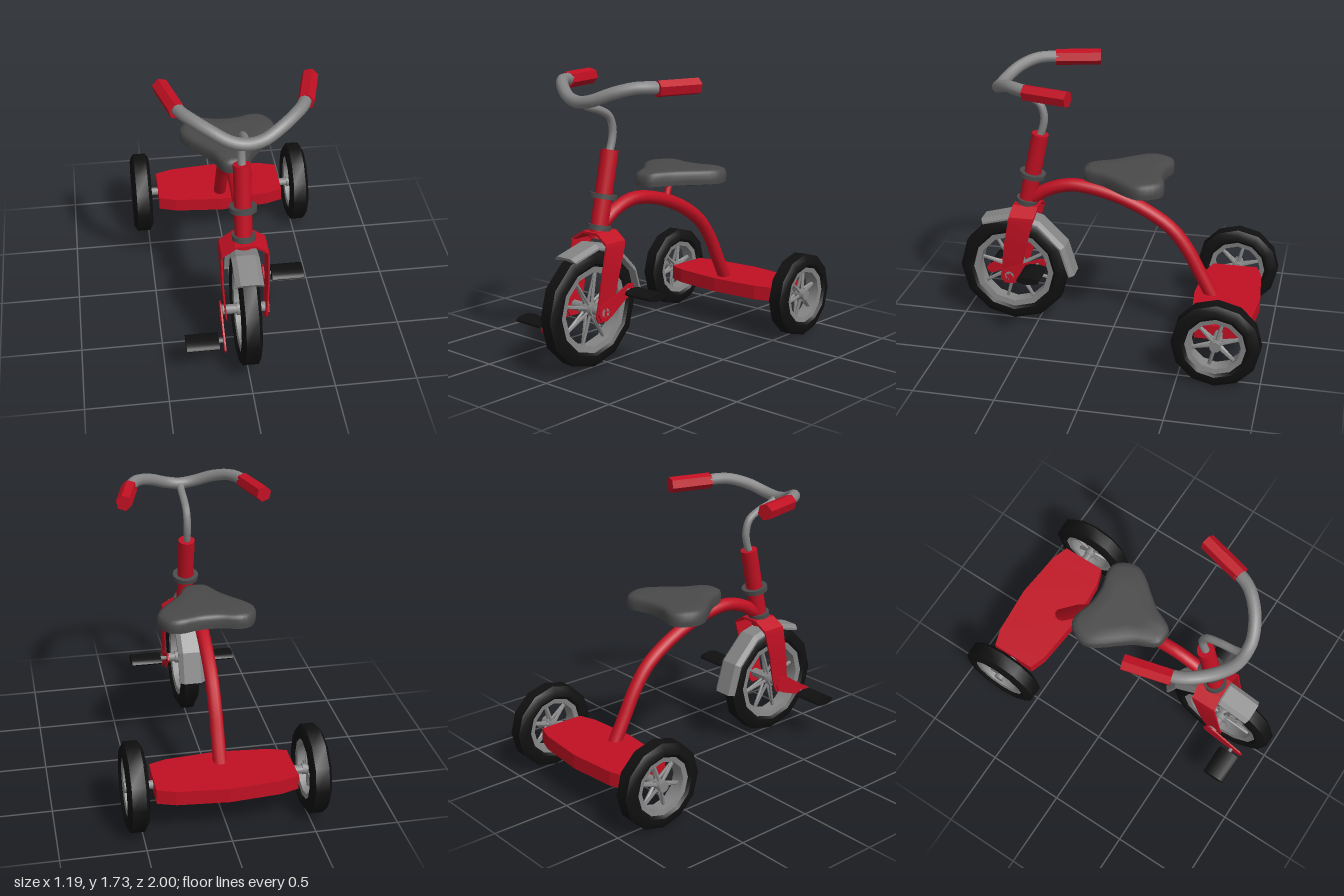
import * as THREE from 'three';
import { toCreasedNormals } from 'three/addons/utils/BufferGeometryUtils.js';

const V = (x, y, z) => new THREE.Vector3(x, y, z);
const paint = (color) => new THREE.MeshStandardMaterial({ color });
const red = paint(0xc01022), black = paint(0x101010), dark = paint(0x4a4a4a), steel = paint(0x858585);

export function createModel() {
  const model = new THREE.Group();

  function add(name, geometry, material, parent = model) {
    const mesh = new THREE.Mesh(geometry, material);
    mesh.name = name;
    parent.add(mesh);
    return mesh;
  }

  // Straight round bar between two points
  function rod(name, a, b, r, material, sides = 12, parent = model) {
    const g = new THREE.CylinderGeometry(r, r, a.distanceTo(b), sides);
    const mesh = add(name, toCreasedNormals(g, 0.8), material, parent);
    mesh.position.copy(a).lerp(b, 0.5);
    mesh.quaternion.setFromUnitVectors(V(0, 1, 0), b.clone().sub(a).normalize());
    return mesh;
  }

  // Bent round tube through points
  function tube(name, points, r, material, steps = 24) {
    return add(name, new THREE.TubeGeometry(new THREE.CatmullRomCurve3(points), steps, r, 10), material);
  }

  // Closed solid through a row of equal-sized rings, with fan caps
  function loft(rings, crease = 0.5) {
    const tris = [], n = rings[0].length;
    for (let i = 0; i + 1 < rings.length; i++) {
      for (let j = 0; j < n; j++) {
        const k = (j + 1) % n, p = rings[i], q = rings[i + 1];
        tris.push([p[j], p[k], q[k]], [p[j], q[k], q[j]]);
      }
    }
    const mid = (ring) => ring.reduce((s, p) => s.add(p), V(0, 0, 0)).divideScalar(n);
    const first = rings[0], last = rings[rings.length - 1], c0 = mid(first), c1 = mid(last);
    for (let j = 0; j < n; j++) {
      const k = (j + 1) % n;
      tris.push([c0, first[k], first[j]], [c1, last[j], last[k]]);
    }
    // Turn the faces outward if the volume comes out negative
    const volume = tris.reduce((s, [a, b, c]) => s + a.clone().sub(c0).dot(b.clone().sub(c0).cross(c.clone().sub(c0))), 0);
    if (volume < 0) tris.forEach((t) => t.reverse());
    const g = new THREE.BufferGeometry().setFromPoints(tris.flat());
    return toCreasedNormals(g, crease);
  }

  // Ring-shaped solid about the x axis
  function ring(profile, sides) {
    const pts = [...profile, profile[0]].map(([r, h]) => new THREE.Vector2(r, h));
    const g = new THREE.LatheGeometry(pts, sides).rotateZ(-Math.PI / 2);
    return toCreasedNormals(g, 0.6);
  }

  // Tyre, rim, hub and spokes
  function wheel(name, x, y, z, r, tyreR, rimR, w, spokes, hubR, spokeR) {
    const group = new THREE.Group();
    group.name = name;
    group.position.set(x, y, z);
    model.add(group);
    add('tyre', ring([[tyreR, -w * 0.75], [tyreR + 0.02, -w], [r - 0.035, -w], [r, -w * 0.65],
      [r, w * 0.65], [r - 0.035, w], [tyreR + 0.02, w], [tyreR, w * 0.75]], 12), black, group);
    add('rim', ring([[rimR, -w * 0.7], [tyreR + 0.01, -w * 0.8], [tyreR + 0.01, w * 0.8], [rimR, w * 0.7]], 12), steel, group);
    rod('hub', V(-w * 0.9, 0, 0), V(w * 0.9, 0, 0), hubR, steel, 12, group);
    for (let i = 0; i < spokes; i++) {
      const a = (i / spokes) * Math.PI * 2 + 0.25;
      const dir = V(0, Math.cos(a), -Math.sin(a)), end = dir.clone().multiplyScalar(rimR + 0.01);
      rod('spoke', dir.multiplyScalar(hubR * 0.7).setX(w * 0.3), end, spokeR, steel, 6, group);
      rod('spoke', dir.clone().setX(-w * 0.3), end, spokeR, steel, 6, group);
    }
  }

  wheel('frontWheel', 0, 0.37, 0.648, 0.352, 0.262, 0.228, 0.06, 8, 0.04, 0.01);
  for (const s of [1, -1]) wheel('rearWheel', s * 0.533, 0.267, -0.73, 0.267, 0.18, 0.152, 0.063, 6, 0.033, 0.011);
  rod('rearAxle', V(-0.57, 0.267, -0.73), V(0.57, 0.267, -0.73), 0.026, steel);
  rod('frontAxle', V(-0.14, 0.37, 0.648), V(0.14, 0.37, 0.648), 0.03, steel);

  // Rear step, narrowing to its ends
  const half = [[-0.42, 0.143], [-0.31, 0.18], [0, 0.207], [0.31, 0.18], [0.42, 0.143]];
  add('rearStep', loft(half.map(([x, h]) => [
    V(x, 0.225, -0.727 - h), V(x, 0.315, -0.727 - h), V(x, 0.315, -0.727 + h), V(x, 0.225, -0.727 + h)]), 0.1), red);

  // Arched frame tube
  tube('frameTube', [[0.53, 0.86], [0.42, 0.93], [0.28, 0.972], [0.15, 0.965], [-0.03, 0.92], [-0.22, 0.835],
    [-0.37, 0.73], [-0.47, 0.6], [-0.55, 0.45], [-0.635, 0.29]].map(([z, y]) => V(0, y, z)), 0.042, red, 28);

  // Head tube with two collars, leaning back
  const head = (y) => V(0, y, 0.46 + (1.295 - y) * 0.21);
  rod('headTube', head(0.78), head(1.295), 0.053, red, 16);
  rod('upperCollar', head(1.012), head(1.04), 0.083, dark, 16);
  rod('lowerCollar', head(0.83), head(0.86), 0.07, dark, 16);

  // Fork: a strap running up one side, over the crown and down the other [x, y, z, half width]
  const leg = [[0.122, 0.31, 0.652, 0.035], [0.126, 0.35, 0.652, 0.058], [0.134, 0.45, 0.628, 0.066], [0.142, 0.58, 0.605, 0.072],
    [0.145, 0.75, 0.565, 0.079], [0.14, 0.777, 0.56, 0.08], [0.06, 0.828, 0.553, 0.081]];
  const strap = [...leg, ...leg.slice().reverse().map(([x, y, z, h]) => [-x, y, z, h])];
  add('fork', loft(strap.map(([x, y, z, h]) => {
    const crown = y > 0.76, ix = x * (crown ? 0.97 : 0.93), iy = y - (crown ? 0.014 : 0);
    return [V(x, y, z - h), V(x, y, z + h), V(ix, iy, z + h), V(ix, iy, z - h)];
  }), 0.3), red);

  // Front mudguard with turned-down edges
  const arc = [[0.845, 0.715], [0.64, 0.77], [0.465, 0.727], [0.305, 0.567], [0.245, 0.37]];
  add('mudguard', loft(arc.map(([z, y]) => {
    const inward = V(0, 0.37 - y, 0.648 - z).normalize();
    const at = (x, d) => V(x, y, z).addScaledVector(inward, d);
    return [at(-0.083, 0.022), at(-0.055, 0), at(0.055, 0), at(0.083, 0.022),
      at(0.083, 0.034), at(0.055, 0.014), at(-0.055, 0.014), at(-0.083, 0.034)];
  }), 0.3), steel);

  // Cranks and pedals, pointing opposite ways
  for (const s of [1, -1]) {
    const dir = V(0, 0.45 * s, -0.893 * s), across = V(0, 0.893, 0.45);
    const stations = [[-0.05, 0.025], [-0.02, 0.05], [0.03, 0.052], [0.15, 0.038], [0.24, 0.032], [0.265, 0.016]];
    const x0 = s > 0 ? 0.135 : -0.15;
    add('crank', loft(stations.map(([d, h]) => [[-1, -1], [1, -1], [1, 1], [-1, 1]].map(([a, b]) =>
      V(x0 + a * 0.005, 0.37, 0.648).addScaledVector(dir, d).addScaledVector(across, b * h))), 0.3), red);
    const y = s > 0 ? 0.468 : 0.274, z = s > 0 ? 0.46 : 0.812;
    rod('pedalAxle', V(x0, y, z), V(s * 0.2, y, z), 0.012, steel, 8);
    const g = new THREE.CylinderGeometry(1, 1, 0.195, 14).rotateZ(Math.PI / 2).scale(1, 0.024, 0.072);
    add('pedal', toCreasedNormals(g, 0.8), black).position.set(s * 0.28, y, z);
  }

  // Seat: one outline stacked at several heights and scales
  const side = [[0.055, 0.178], [0.092, 0.125], [0.125, 0.05], [0.19, -0.035], [0.27, -0.135], [0.3, -0.205],
    [0.285, -0.27], [0.235, -0.335], [0.17, -0.345], [0.08, -0.318]];
  const outline = [[0, 0.186], ...side, [0, -0.312], ...side.slice().reverse().map(([x, z]) => [-x, z])];
  const edge = new THREE.CatmullRomCurve3(outline.map(([x, z]) => V(x, 0, z)), true).getPoints(48).slice(0, -1);
  const layers = [[0.9, 1.03], [0.99, 1.035], [1, 1.06], [0.995, 1.09], [0.96, 1.11], [0.86, 1.12], [0.5, 1.12]];
  add('seat', loft(layers.map(([k, y]) => edge.map((p) => V(p.x * k, y, (p.z + 0.12) * k - 0.12))), 0.9), dark);
  rod('seatPost', V(0, 0.91, -0.035), V(0, 1.05, -0.08), 0.022, red);

  // Handlebar, stem and six-sided grips
  tube('stem', [[0.478, 1.25], [0.445, 1.33], [0.433, 1.41], [0.46, 1.49], [0.54, 1.535], [0.64, 1.565], [0.7, 1.6]]
    .map(([z, y]) => V(0, y, z)), 0.024, steel);
  const bar = [[0.09, 1.61, 0.69], [0.2, 1.655, 0.635], [0.29, 1.683, 0.555], [0.335, 1.685, 0.49], [0.375, 1.677, 0.38]];
  tube('handlebar', [...bar.map(([x, y, z]) => V(-x, y, z)).reverse(), V(0, 1.595, 0.7), ...bar.map((p) => V(...p))],
    0.037, steel, 32);
  for (const s of [1, -1]) rod('grip', V(s * 0.36, 1.677, 0.447), V(s * 0.43, 1.677, 0.175), 0.05, red, 6);

  return model;
}
